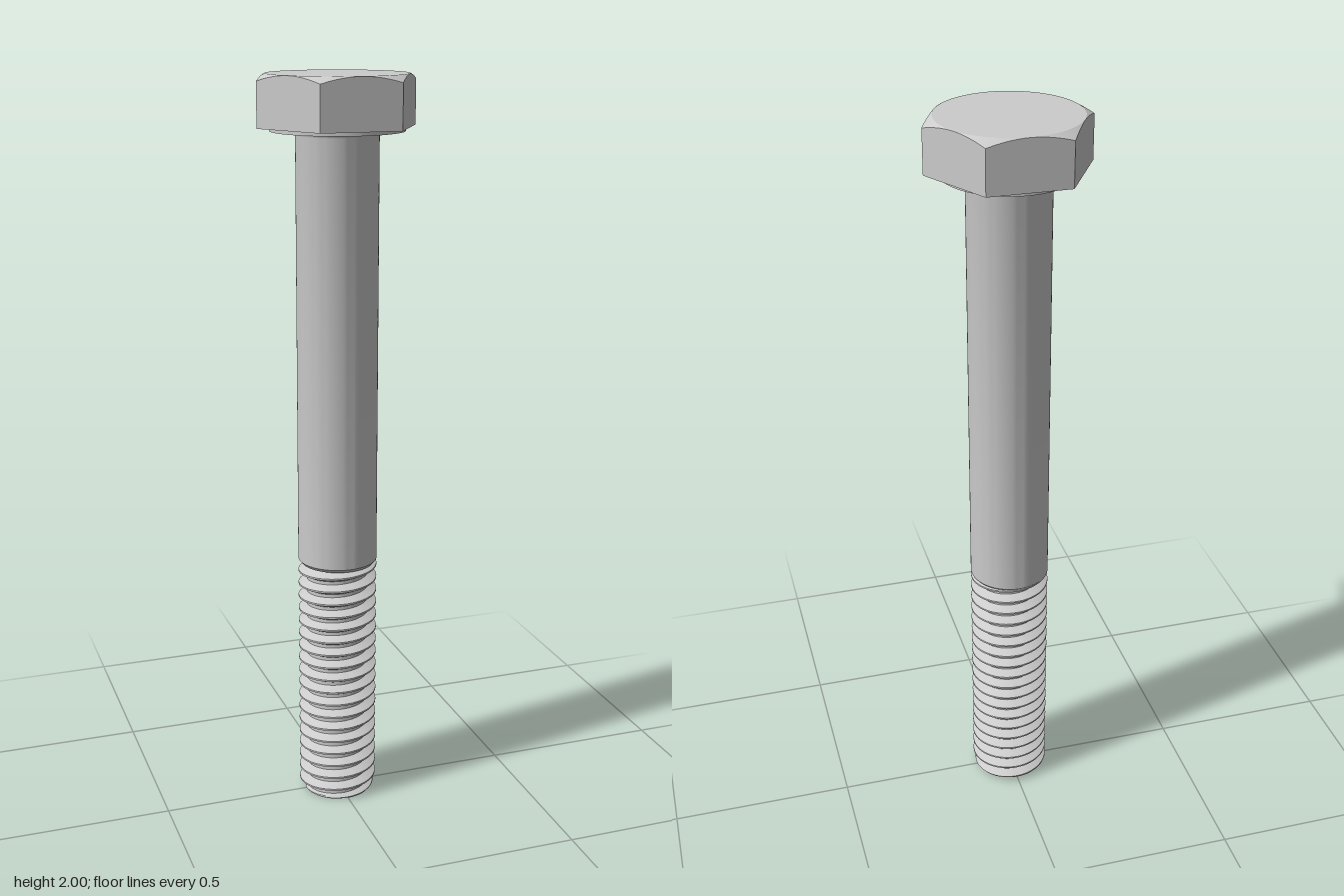
import * as THREE from 'three';
import { toCreasedNormals } from 'three/addons/utils/BufferGeometryUtils.js';

const SEGMENTS = 72;
const SHANK_R = 0.108;
const THREAD_TOP = 0.7;

// Closed surface around y: rows run bottom to top, at(row, angle) gives [radius, y]
function surface(rows, at) {
  const positions = [], index = [], stride = SEGMENTS + 1;
  for (let j = 0; j < rows; j++) {
    for (let i = 0; i <= SEGMENTS; i++) {
      const angle = (i / SEGMENTS) * Math.PI * 2;
      const [r, y] = at(j, angle);
      positions.push(r * Math.sin(angle), y, r * Math.cos(angle));
      if (j < rows - 1 && i < SEGMENTS) {
        const a = j * stride + i, d = a + stride;
        index.push(a, a + 1, d + 1, a, d + 1, d);
      }
    }
  }
  const geometry = new THREE.BufferGeometry();
  geometry.setAttribute('position', new THREE.Float32BufferAttribute(positions, 3));
  geometry.setIndex(index);
  return geometry;
}

// Hexagonal head, corners on the x axis, top corners cut by a 30 degree cone
function headGeometry() {
  const apothem = 0.185, flatR = 0.184, bottom = 1.867, top = 2;
  const sector = Math.PI / 3;
  return surface(5, (row, angle) => {
    const local = angle - Math.round(angle / sector) * sector;
    const r = apothem / Math.cos(local);
    return [
      [0, bottom],
      [r, bottom],
      [r, top - (r - flatR) * Math.tan(Math.PI / 6)],
      [flatR, top],
      [0, top],
    ][row];
  });
}

// Right-hand helical V thread with a chamfered tip
function threadGeometry() {
  const pitch = 0.0375, depth = 0.023;
  const phases = [0.0625, 0.16, 0.26, 0.375, 0.5, 0.625, 0.74, 0.84, 0.9375];
  const turns = Math.ceil(THREAD_TOP / pitch) + 2;
  return surface(turns * phases.length + 1, (row, angle) => {
    if (row === 0) return [0, 0];
    const n = row - 1;
    const turn = Math.floor(n / phases.length) - 1 + phases[n % phases.length];
    const lead = angle / (Math.PI * 2);
    const y = THREE.MathUtils.clamp((turn + lead) * pitch, 0, THREAD_TOP);
    const phase = y / pitch - lead;
    const fromCrest = Math.abs(phase - Math.round(phase));
    const cut = THREE.MathUtils.clamp((fromCrest - 0.0625) / 0.3125, 0, 1);
    return [Math.min(SHANK_R - cut * depth, 0.094 + y * 0.8), y];
  });
}

export function createModel() {
  const group = new THREE.Group();
  const material = new THREE.MeshStandardMaterial({ color: 0xcccccc });
  const add = (name, geometry, crease = 0.4) => {
    const mesh = new THREE.Mesh(toCreasedNormals(geometry, crease), material);
    mesh.name = name;
    group.add(mesh);
  };
  const lathe = (points) =>
    new THREE.LatheGeometry(points.map(([x, y]) => new THREE.Vector2(x, y)), SEGMENTS);

  add('hexHead', headGeometry());

  // Thin bearing face under the head
  add('washerFace', lathe([[0.1, 1.857], [0.174, 1.857], [0.174, 1.868]]));

  // Plain shank with a run-out bevel below and a small fillet under the head
  add('shank', lathe([
    [0.08, 0.69], [0.1, 0.69], [SHANK_R, 0.7], [SHANK_R, 1.846],
    [0.109, 1.851], [0.112, 1.855], [0.117, 1.857],
  ]), 0.6);

  add('thread', threadGeometry());
  return group;
}
